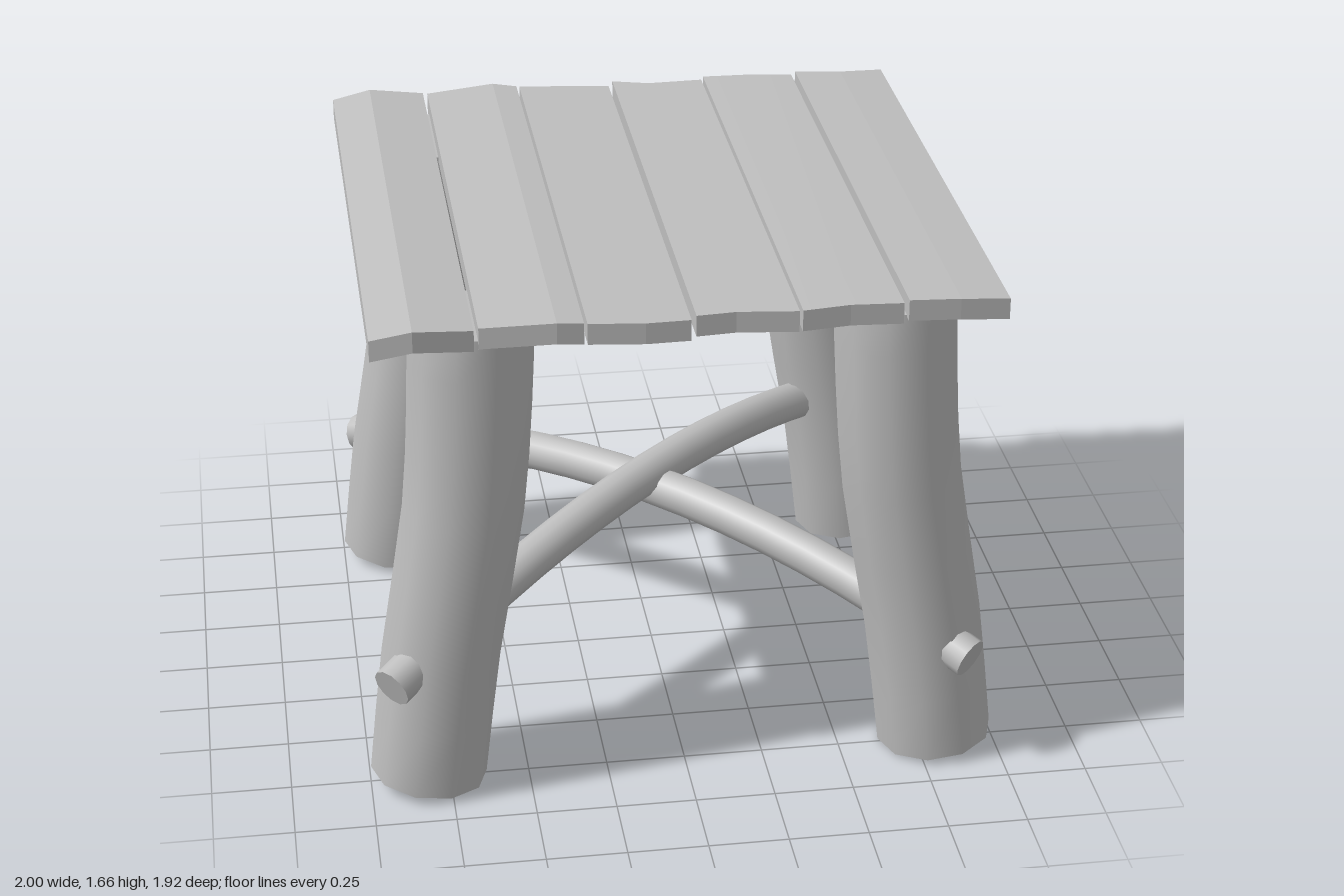
import * as THREE from 'three';
import { toCreasedNormals } from 'three/addons/utils/BufferGeometryUtils.js';

const UP = new THREE.Vector3(0, 1, 0);

// Round log swept along a curve, with closed ends
function log(curve, radiusAt, sides, segments) {
  const geometry = new THREE.CylinderGeometry(1, 1, 1, sides, segments, false, Math.PI / 2);
  const pos = geometry.attributes.position;
  const q = new THREE.Quaternion();
  const v = new THREE.Vector3();
  for (let i = 0; i < pos.count; i++) {
    const t = THREE.MathUtils.clamp(pos.getY(i) + 0.5, 0, 1);
    const r = radiusAt(t);
    q.setFromUnitVectors(UP, curve.getTangent(t));
    v.set(pos.getX(i) * r, 0, pos.getZ(i) * r).applyQuaternion(q).add(curve.getPoint(t));
    pos.setXYZ(i, v.x, v.y, v.z);
  }
  return toCreasedNormals(geometry, 0.8);
}

// Uneven board from three stations across its width: [x, top, back z, front z]
function plank(stations, thickness) {
  const geometry = new THREE.BoxGeometry(2, 1, 1, 2, 1, 1);
  const pos = geometry.attributes.position;
  for (let i = 0; i < pos.count; i++) {
    const [x, top, back, front] = stations[Math.round(pos.getX(i)) + 1];
    pos.setXYZ(i, x, pos.getY(i) > 0 ? top : top - thickness, pos.getZ(i) > 0 ? front : back);
  }
  return toCreasedNormals(geometry, 0.05);
}

export function createModel() {
  const group = new THREE.Group();
  const wood = new THREE.MeshStandardMaterial({ color: 0xbfbfbf });
  wood.name = 'plain grey wood';

  const add = (name, geometry) => {
    const mesh = new THREE.Mesh(geometry, wood);
    mesh.name = name;
    group.add(mesh);
  };

  // Seat boards
  const boards = [
    [[-0.955, 1.63, -0.945, 0.94], [-0.83, 1.66, -0.945, 0.96], [-0.65, 1.638, -0.945, 0.93]],
    [[-0.635, 1.635, -0.945, 0.91], [-0.41, 1.653, -0.96, 0.945], [-0.33, 1.645, -0.945, 0.94]],
    [[-0.32, 1.643, -0.945, 0.94], [-0.15, 1.638, -0.94, 0.95], [-0.015, 1.635, -0.93, 0.94]],
    [[0, 1.645, -0.945, 0.935], [0.12, 1.645, -0.91, 0.925], [0.305, 1.642, -0.925, 0.94]],
    [[0.315, 1.643, -0.95, 0.94], [0.46, 1.645, -0.942, 0.925], [0.62, 1.64, -0.935, 0.925]],
    [[0.635, 1.648, -0.94, 0.925], [0.79, 1.645, -0.925, 0.93], [0.94, 1.633, -0.955, 0.925]],
  ];
  boards.forEach((stations, i) => add(`seatBoard${i + 1}`, plank(stations, 0.067)));

  // Four bent legs, leaning outwards to the sides: [x, y]
  const bend = [[0.815, 0.02], [0.763, 0.45], [0.68, 0.95], [0.652, 1.3], [0.64, 1.585]];
  for (const side of [1, -1]) {
    for (const end of [1, -1]) {
      const foot = end > 0 ? 0.735 : -0.72;
      const drift = end > 0 ? -0.02 : 0.03;
      const curve = new THREE.CatmullRomCurve3(
        bend.map(([x, y]) => new THREE.Vector3(side * x, y, foot + drift * (y / 1.58))));
      const name = (end > 0 ? 'front' : 'back') + (side > 0 ? 'Left' : 'Right') + 'Leg';
      add(name, log(curve, (t) => 0.184 + 0.007 * t, 10, 8));
    }
  }

  // Two arched stretchers crossing under the seat
  const stretcher = (name, a, middleY, b) => {
    const start = new THREE.Vector3(...a);
    const stop = new THREE.Vector3(...b);
    const control = new THREE.Vector3(0, 2 * middleY, 0)
      .sub(start.clone().add(stop).multiplyScalar(0.5));
    const curve = new THREE.QuadraticBezierCurve3(start, control, stop);
    add(name, log(curve, () => 0.066, 12, 16));
  };
  stretcher('upperStretcher', [-0.93, 0.43, 0.9], 0.635, [0.87, 0.43, -0.91]);
  stretcher('lowerStretcher', [0.88, 0.385, 0.91], 0.585, [-0.92, 0.375, -0.91]);

  return group;
}
